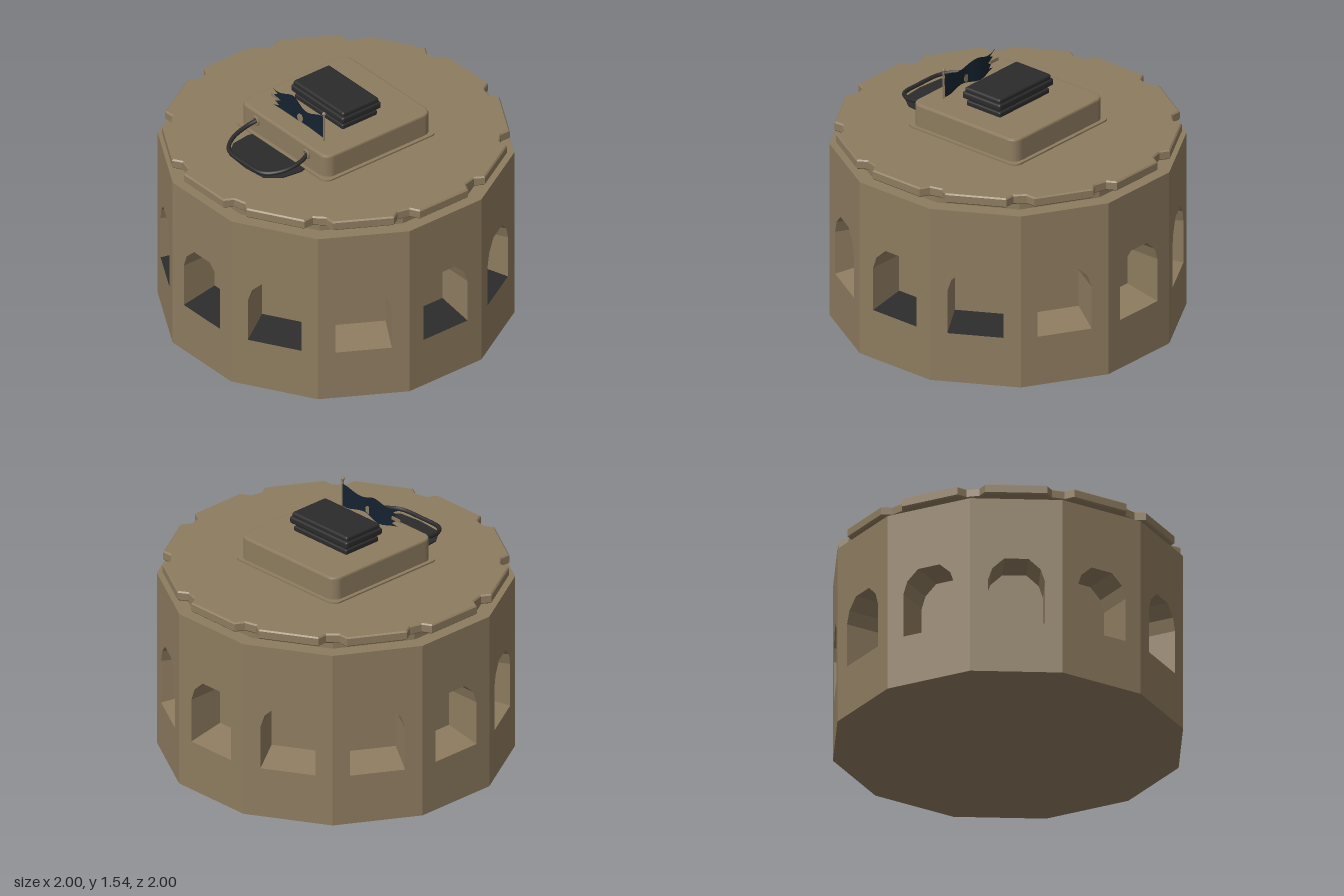
import * as THREE from 'three';
import { RoundedBoxGeometry } from 'three/addons/geometries/RoundedBoxGeometry.js';

const mat = (name, color, extra = {}) => {
  const m = new THREE.MeshStandardMaterial({ color, ...extra });
  m.name = name;
  return m;
};

export function createModel() {
  const root = new THREE.Group();
  root.name = 'bunkerTurret';
  const tan = mat('tan', 0x8d7b5f);
  const dark = mat('charcoal', 0x2b2b2b);
  const navy = mat('navyCloth', 0x142230, { side: THREE.DoubleSide });

  const add = (name, geo, material, x = 0, y = 0, z = 0, parent = root) => {
    const m = new THREE.Mesh(geo, material);
    m.name = name;
    m.position.set(x, y, z);
    parent.add(m);
    return m;
  };
  const flat = (g) => {
    const f = g.index ? g.toNonIndexed() : g;
    f.computeVertexNormals();
    return f;
  };

  // Twelve-sided body: wall panels with arched niches
  const SIDES = 12, TOP = 1.1, DEPTH = 0.23;
  const half = Math.tan(Math.PI / SIDES), corner = 1 / Math.cos(Math.PI / SIDES);
  const v2 = (x, y) => new THREE.Vector2(x, y);
  const arch = [v2(-0.165, 0.31), v2(0.165, 0.31), v2(0.165, 0.58), v2(0.14, 0.655),
    v2(0.07, 0.72), v2(-0.07, 0.72), v2(-0.14, 0.655), v2(-0.165, 0.58)];
  const backArch = arch.map((p) => v2(p.x, Math.max(p.y, 0.35)));

  const panel = new THREE.Shape([v2(-half, 0), v2(half, 0), v2(half, TOP), v2(-half, TOP)]);
  panel.holes.push(new THREE.Path(arch));
  const panelGeo = new THREE.ShapeGeometry(panel);
  const backGeo = new THREE.ShapeGeometry(new THREE.Shape(backArch));

  // Niche lining between the front outline and the back outline
  const lining = (from, to) => {
    const pos = [];
    for (let i = from; i < to; i++) {
      const j = (i + 1) % arch.length;
      const a = [arch[i].x, arch[i].y, 0], b = [arch[j].x, arch[j].y, 0];
      const A = [backArch[i].x, backArch[i].y, -DEPTH], B = [backArch[j].x, backArch[j].y, -DEPTH];
      pos.push(...a, ...b, ...B, ...a, ...B, ...A);
    }
    const g = new THREE.BufferGeometry();
    g.setAttribute('position', new THREE.Float32BufferAttribute(pos, 3));
    g.computeVertexNormals();
    return g;
  };
  const floorGeo = lining(0, 1), liningGeo = lining(1, arch.length);
  const darkFloors = [0, 1, 3, 4, 11];

  for (let i = 0; i < SIDES; i++) {
    const side = new THREE.Group();
    side.name = 'wallSide';
    side.rotation.y = (i * Math.PI * 2) / SIDES;
    add('wallPanel', panelGeo, tan, 0, 0, 1, side);
    add('nicheLining', liningGeo, tan, 0, 0, 1, side);
    add('nicheFloor', floorGeo, darkFloors.includes(i) ? dark : tan, 0, 0, 1, side);
    add('nicheBack', backGeo, tan, 0, 0, 1 - DEPTH, side);
    root.add(side);
  }

  // Closing faces of the body, and the recessed neck above it
  const cap = new THREE.CircleGeometry(corner, SIDES, Math.PI / SIDES);
  add('bodyTop', cap, tan, 0, TOP, 0).rotation.x = -Math.PI / 2;
  add('bodyBottom', cap, tan).rotation.x = Math.PI / 2;
  const neck = new THREE.CylinderGeometry(0.91 * corner, 0.91 * corner, 0.06, SIDES);
  add('neck', flat(neck), tan, 0, TOP + 0.025, 0).rotation.y = Math.PI / SIDES;

  // Roof slab, notched at every corner
  const outline = [];
  for (let i = 0; i < SIDES; i++) {
    const a = (i * Math.PI * 2) / SIDES;
    for (const [t, r] of [[-0.205, 0.925], [-0.175, 0.98], [0.175, 0.98], [0.205, 0.925]]) {
      outline.push(v2(r * Math.cos(a) - t * Math.sin(a), r * Math.sin(a) + t * Math.cos(a)));
    }
  }
  const slab = new THREE.ExtrudeGeometry(new THREE.Shape(outline), {
    depth: 0.044, bevelEnabled: true, bevelThickness: 0.008, bevelSize: 0.008, bevelSegments: 1 });
  add('roofSlab', slab, tan, 0, 1.148, 0).rotation.x = -Math.PI / 2;

  // Rounded square hatch box on a thin flange
  const roundedSquare = (h, r, depth, bevel) => {
    const s = new THREE.Shape();
    const c = h - r;
    s.absarc(c, c, r, 0, Math.PI / 2);
    s.absarc(-c, c, r, Math.PI / 2, Math.PI);
    s.absarc(-c, -c, r, Math.PI, Math.PI * 1.5);
    s.absarc(c, -c, r, Math.PI * 1.5, Math.PI * 2);
    return new THREE.ExtrudeGeometry(s, { depth, curveSegments: 4, bevelEnabled: bevel > 0,
      bevelThickness: bevel, bevelSize: bevel, bevelSegments: 2 });
  };
  add('hatchFlange', roundedSquare(0.42, 0.05, 0.012, 0), tan, 0, 1.198, 0).rotation.x = -Math.PI / 2;
  add('hatchBox', roundedSquare(0.385, 0.05, 0.13, 0.012), tan, 0, 1.21, 0).rotation.x = -Math.PI / 2;

  // Sight block on top
  add('sightBase', new RoundedBoxGeometry(0.44, 0.035, 0.26, 2, 0.01), dark, 0, 1.365, 0);
  add('sightNeck', new THREE.BoxGeometry(0.38, 0.03, 0.21), dark, 0, 1.39, 0);
  add('sightBody', new RoundedBoxGeometry(0.48, 0.045, 0.29, 2, 0.014), dark, 0, 1.42, 0);
  add('sightLid', new RoundedBoxGeometry(0.46, 0.05, 0.27, 2, 0.014), dark, 0, 1.445, 0);

  // Carrying handle: bent rod sloping out over the front
  const path = [[-0.24, 1.295, 0.39], [-0.255, 1.275, 0.45], [-0.24, 1.25, 0.57], [-0.17, 1.235, 0.66],
    [0, 1.232, 0.675], [0.15, 1.235, 0.66], [0.22, 1.25, 0.57], [0.235, 1.275, 0.45], [0.22, 1.295, 0.39]]
    .map((p) => new THREE.Vector3(...p));
  add('handleRod', new THREE.TubeGeometry(new THREE.CatmullRomCurve3(path), 48, 0.013, 8), dark);
  for (const x of [-0.24, 0.22]) add('handleLug', new THREE.TorusGeometry(0.024, 0.009, 6, 12), tan, x, 1.297, 0.402);
  const mat2d = new THREE.Shape(path.map((p) => v2(p.x, -p.z)));
  add('deckPlate', new THREE.ExtrudeGeometry(mat2d, { depth: 0.008, bevelEnabled: false }), dark, 0, 1.2, 0)
    .rotation.x = -Math.PI / 2;

  // Flag pole and torn cloth
  add('flagPole', new THREE.CylinderGeometry(0.006, 0.007, 0.18, 8), tan, 0.24, 1.44, 0.285);
  add('poleBall', new THREE.SphereGeometry(0.012, 10, 8), tan, 0.24, 1.533, 0.285);
  const cloth = new THREE.PlaneGeometry(1, 1, 28, 6);
  const p = cloth.attributes.position;
  const tatter = [0, 0.05, 0.02, 0.07, 0.03, 0.06, 0.015];
  for (let i = 0; i < p.count; i++) {
    const u = p.getX(i) + 0.5, v = p.getY(i) + 0.5;
    const left = -0.225 + tatter[Math.round((1 - v) * 6)];
    const x = left + (0.235 - left) * u;
    const top = 1.487 + 0.016 * Math.cos((x - 0.22) * 24) + 0.012 * (1 - u) * (1 - u);
    const bottom = 1.37 + 0.01 * Math.sin(x * 22);
    p.setXYZ(i, x, bottom + (top - bottom) * v, 0.283 + 0.012 * Math.sin(x * 22) * (1 - 0.6 * u));
  }
  cloth.computeVertexNormals();
  add('flagCloth', cloth, navy);
  add('clothPatch', new THREE.CylinderGeometry(0.026, 0.026, 0.008, 7), tan, 0.03, 1.405, 0.291).rotation.x = Math.PI / 2;
  add('clothScrap', new THREE.BoxGeometry(0.07, 0.02, 0.006), tan, -0.205, 1.43, 0.285);

  return root;
}
